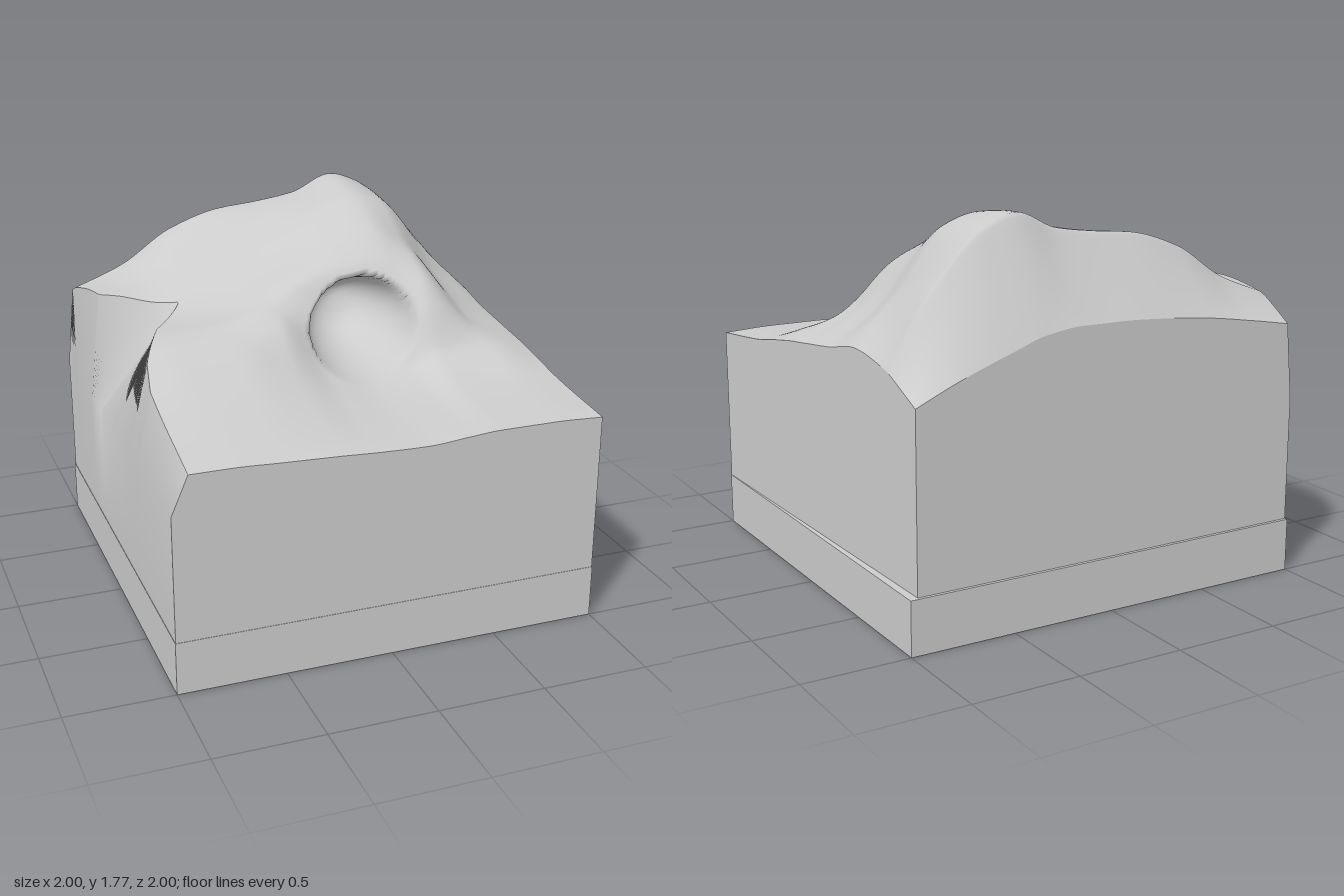
import * as THREE from 'three';

// Terrain heights: one cross-section (along XS) per depth in ZS
const XS = [-1, -0.75, -0.5, -0.25, -0.05, 0.15, 0.35, 0.5, 0.75, 1];
const ZS = [-1, -0.75, -0.45, -0.2, 0, 0.1, 0.2, 0.35, 0.6, 1];
const HEIGHTS = [
  [1.18, 1.22, 1.25, 1.27, 1.28, 1.28, 1.25, 1.20, 1.12, 1.03],
  [1.30, 1.40, 1.56, 1.64, 1.66, 1.69, 1.77, 1.72, 1.48, 1.10],
  [1.35, 1.37, 1.44, 1.53, 1.60, 1.68, 1.74, 1.70, 1.42, 1.17],
  [1.31, 1.31, 1.36, 1.44, 1.52, 1.60, 1.64, 1.58, 1.30, 1.14],
  [1.31, 1.31, 1.33, 1.40, 1.47, 1.50, 1.52, 1.50, 1.25, 1.12],
  [1.30, 1.31, 1.33, 1.37, 1.34, 1.32, 1.40, 1.44, 1.22, 1.11],
  [1.28, 1.30, 1.31, 1.32, 1.20, 1.14, 1.24, 1.34, 1.20, 1.10],
  [1.22, 1.25, 1.25, 1.20, 1.10, 1.06, 1.08, 1.14, 1.14, 1.08],
  [1.13, 1.14, 1.13, 1.09, 1.04, 1.02, 1.03, 1.06, 1.06, 1.04],
  [1.02, 1.02, 1.01, 1.00, 0.99, 0.985, 1.00, 1.01, 1.01, 1.00],
];
// Left rim of the top surface, with its sharp notch
const RIM_Z = [-1, -0.78, -0.44, -0.24, 0.02, 0.3, 0.46, 1];
const RIM_X = [-0.96, -1, -0.94, -0.6, -0.78, -0.9, -0.93, -0.92];

const lerp = THREE.MathUtils.lerp;

function segment(ks, t) {
  let i = 0;
  while (i < ks.length - 2 && t > ks[i + 1]) i++;
  return i;
}

function linear(ks, vs, t) {
  const i = segment(ks, t);
  return lerp(vs[i], vs[i + 1], (t - ks[i]) / (ks[i + 1] - ks[i]));
}

// Smooth interpolation that never overshoots
function smooth(ks, vs, t) {
  const i = segment(ks, t);
  const slope = (k) => (vs[k + 1] - vs[k]) / (ks[k + 1] - ks[k]);
  const tangent = (k) => {
    if (k === 0) return slope(0);
    if (k === ks.length - 1) return slope(k - 1);
    const a = slope(k - 1), b = slope(k);
    return a * b <= 0 ? 0 : (2 * a * b) / (a + b);
  };
  const h = ks[i + 1] - ks[i], s = (t - ks[i]) / h, r = 1 - s;
  return vs[i] * (1 + 2 * s) * r * r + tangent(i) * h * s * r * r
    + vs[i + 1] * s * s * (3 - 2 * s) - tangent(i + 1) * h * s * s * r;
}

function height(x, z) {
  const column = HEIGHTS.map((row) => smooth(XS, row, x));
  return z < -0.75 ? linear(ZS, column, z) : smooth(ZS, column, z);
}

const depthAt = (v) => lerp(-0.985, 0.998, v);
const rightEdge = (z) => lerp(0.96, 0.998, (z + 1) / 2);

// Top surface point; the slope under the hood is pushed back to hollow the cave
function topPoint(u, v) {
  let z = depthAt(v);
  const x = lerp(linear(RIM_Z, RIM_X, z), rightEdge(z), u);
  const y = height(x, z);
  if (z > -0.05 && z < 0.42) {
    const dx = x - 0.17;
    const d = Math.hypot(dx / 0.26, (y - 1.255 - 0.12 * dx) / 0.2);
    if (d < 1) z -= 0.32 * (1 - d ** 3);
  }
  return [x, y, z];
}

// Wall point below the rim
function footPoint(u, v, y) {
  const z = depthAt(v);
  return [lerp(-0.998, rightEdge(z), u), y, z];
}

// Grid surface: point(s, t) with s across and t down
function gridGeometry(cols, rows, point) {
  const positions = [], index = [];
  for (let j = 0; j <= rows; j++) {
    for (let i = 0; i <= cols; i++) {
      positions.push(...point(i / cols, j / rows));
      if (i < cols && j < rows) {
        const a = j * (cols + 1) + i, b = a + cols + 1;
        index.push(a, b, a + 1, a + 1, b, b + 1);
      }
    }
  }
  const geometry = new THREE.BufferGeometry();
  geometry.setAttribute('position', new THREE.Float32BufferAttribute(positions, 3));
  geometry.setIndex(index);
  geometry.computeVertexNormals();
  return geometry;
}

export function createModel() {
  const model = new THREE.Group();
  model.name = 'caveHillBlock';
  const material = new THREE.MeshStandardMaterial({ color: 0xcccccc, side: THREE.DoubleSide });
  const add = (name, geometry) => {
    const mesh = new THREE.Mesh(geometry, material);
    mesh.name = name;
    model.add(mesh);
    return mesh;
  };

  // Square plinth
  add('plinth', new THREE.BoxGeometry(2, 0.25, 2)).position.y = 0.125;

  // Hill with cave
  add('hillTop', gridGeometry(110, 150, topPoint));

  // Cut sides, each following the rim of the hill
  const sides = {
    frontWall: (s) => [s, 1],
    rightEdgeWall: (s) => [1, 1 - s],
    backWall: (s) => [1 - s, 0],
    notchedWall: (s) => [0, s],
  };
  for (const [name, edge] of Object.entries(sides)) {
    add(name, gridGeometry(150, 2, (s, t) => {
      const [u, v] = edge(s);
      if (t === 0) return topPoint(u, v);
      return footPoint(u, v, t === 1 ? 0.24 : 0.84);
    }));
  }
  return model;
}
